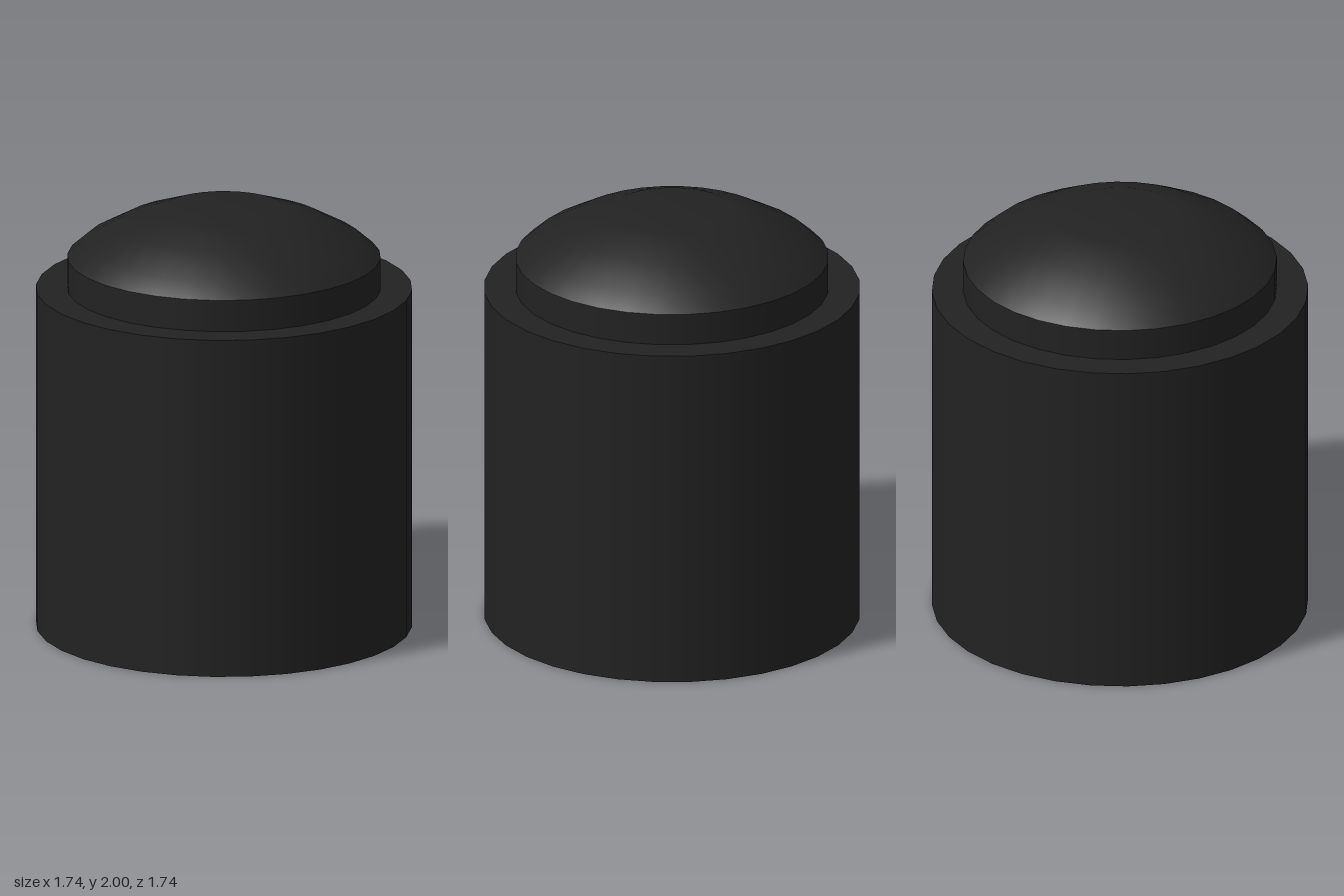
import * as THREE from 'three';

const SIDES = 32;

export function createModel() {
  const model = new THREE.Group();
  model.name = 'hollowCap';

  const black = new THREE.MeshStandardMaterial({ color: 0x222222 });
  black.name = 'matte black';

  // One smooth surface of revolution; separate bands keep hard edges between them
  function band(name, parent, profile) {
    const points = profile.map(([r, y]) => new THREE.Vector2(r, y));
    const mesh = new THREE.Mesh(new THREE.LatheGeometry(points, SIDES), black);
    mesh.name = name;
    parent.add(mesh);
  }

  const outer = 0.87, inner = 0.775, shoulder = 1.62, ceiling = 1.52;
  const knob = 0.725, domeBase = 1.77;

  // Hollow body, open underneath
  const body = new THREE.Group();
  body.name = 'body';
  band('innerCeiling', body, [[0, ceiling], [inner, ceiling]]);
  band('innerWall', body, [[inner, ceiling], [inner, 0]]);
  band('bottomRim', body, [[inner, 0], [outer, 0]]);
  band('outerWall', body, [[outer, 0], [outer, shoulder]]);
  band('shoulder', body, [[outer, shoulder], [knob, shoulder]]);

  // Raised button with a domed top
  const button = new THREE.Group();
  button.name = 'button';
  band('buttonWall', button, [[knob, shoulder], [knob, domeBase]]);
  band('dome', button, [[knob, domeBase], [0.645, 1.84], [0.48, 1.93], [0.285, 2], [0, 2]]);

  model.add(body, button);
  return model;
}
